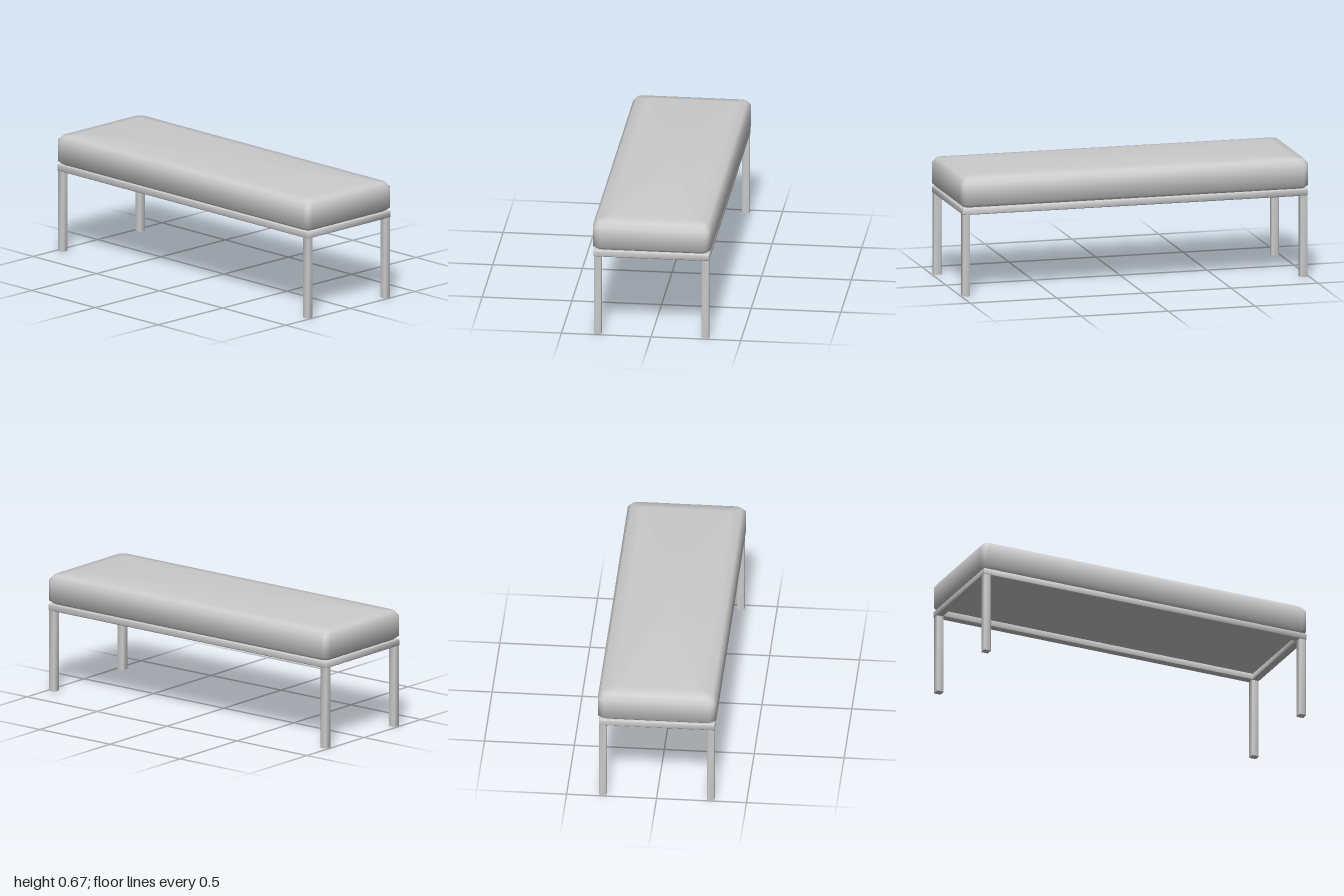
import * as THREE from 'three';
import { toCreasedNormals } from 'three/addons/utils/BufferGeometryUtils.js';

const material = new THREE.MeshStandardMaterial({ color: 0xcccccc });

// Rounded rectangle outline at height y, counter-clockwise from above
function outline(hx, hz, r, y, steps) {
  const points = [];
  const signs = [[1, 1], [-1, 1], [-1, -1], [1, -1]];
  signs.forEach(([sx, sz], corner) => {
    for (let k = 0; k <= steps; k++) {
      const a = (corner + k / steps) * Math.PI / 2;
      points.push([sx * (hx - r) + r * Math.cos(a), y, -(sz * (hz - r) + r * Math.sin(a))]);
    }
  });
  return points;
}

// Skin through outlines; either capped at both ends or closed back on itself
function loft(rings, closed = false) {
  const n = rings[0].length;
  const positions = rings.flat(2);
  const index = [];
  const spans = closed ? rings.length : rings.length - 1;
  for (let i = 0; i < spans; i++) {
    const lo = i * n, hi = ((i + 1) % rings.length) * n;
    for (let j = 0; j < n; j++) {
      const k = (j + 1) % n;
      index.push(lo + j, lo + k, hi + k, lo + j, hi + k, hi + j);
    }
  }
  if (!closed) {
    const bottom = rings.length * n, top = bottom + 1, last = (rings.length - 1) * n;
    positions.push(0, rings[0][0][1], 0, 0, rings[rings.length - 1][0][1], 0);
    for (let j = 0; j < n; j++) {
      const k = (j + 1) % n;
      index.push(bottom, k, j, top, last + j, last + k);
    }
  }
  const geometry = new THREE.BufferGeometry();
  geometry.setAttribute('position', new THREE.Float32BufferAttribute(positions, 3));
  geometry.setIndex(index);
  geometry.computeVertexNormals();
  return geometry;
}

function addMesh(group, name, geometry) {
  const mesh = new THREE.Mesh(geometry, material);
  mesh.name = name;
  group.add(mesh);
  return mesh;
}

export function createModel() {
  const group = new THREE.Group();
  group.name = 'bench';

  // Padded cushion: [inset from the widest outline, height]
  const profile = [[0.02, 0.5], [0, 0.518], [0, 0.635], [0.02, 0.663], [0.085, 0.672]];
  const cushion = loft(profile.map(([d, y]) => outline(1 - d, 0.329 - d, 0.035, y, 3)));
  addMesh(group, 'cushion', toCreasedNormals(cushion, 1.1));

  // Open rectangular rail frame with eased edges
  const hx = 0.993, hz = 0.322, y0 = 0.46, y1 = 0.499, b = 0.004, w = 0.042;
  const section = [[0, y0 + b], [0, y1 - b], [b, y1], [w - b, y1], [w, y1 - b], [w, y0 + b], [w - b, y0], [b, y0]];
  const frame = loft(section.map(([d, y]) => outline(hx - d, hz - d, 0.003, y, 1)), true);
  addMesh(group, 'frame', toCreasedNormals(frame, 0.9));

  // Four square legs with eased edges
  const legGeometry = toCreasedNormals(
    loft([0, 0.462].map((y) => outline(0.021, 0.021, 0.004, y, 1))), 0.9);
  for (const sx of [1, -1]) {
    for (const sz of [1, -1]) {
      const name = (sz > 0 ? 'front' : 'back') + (sx > 0 ? 'Left' : 'Right') + 'Leg';
      addMesh(group, name, legGeometry).position.set(sx * 0.97, 0, sz * 0.3);
    }
  }
  return group;
}
